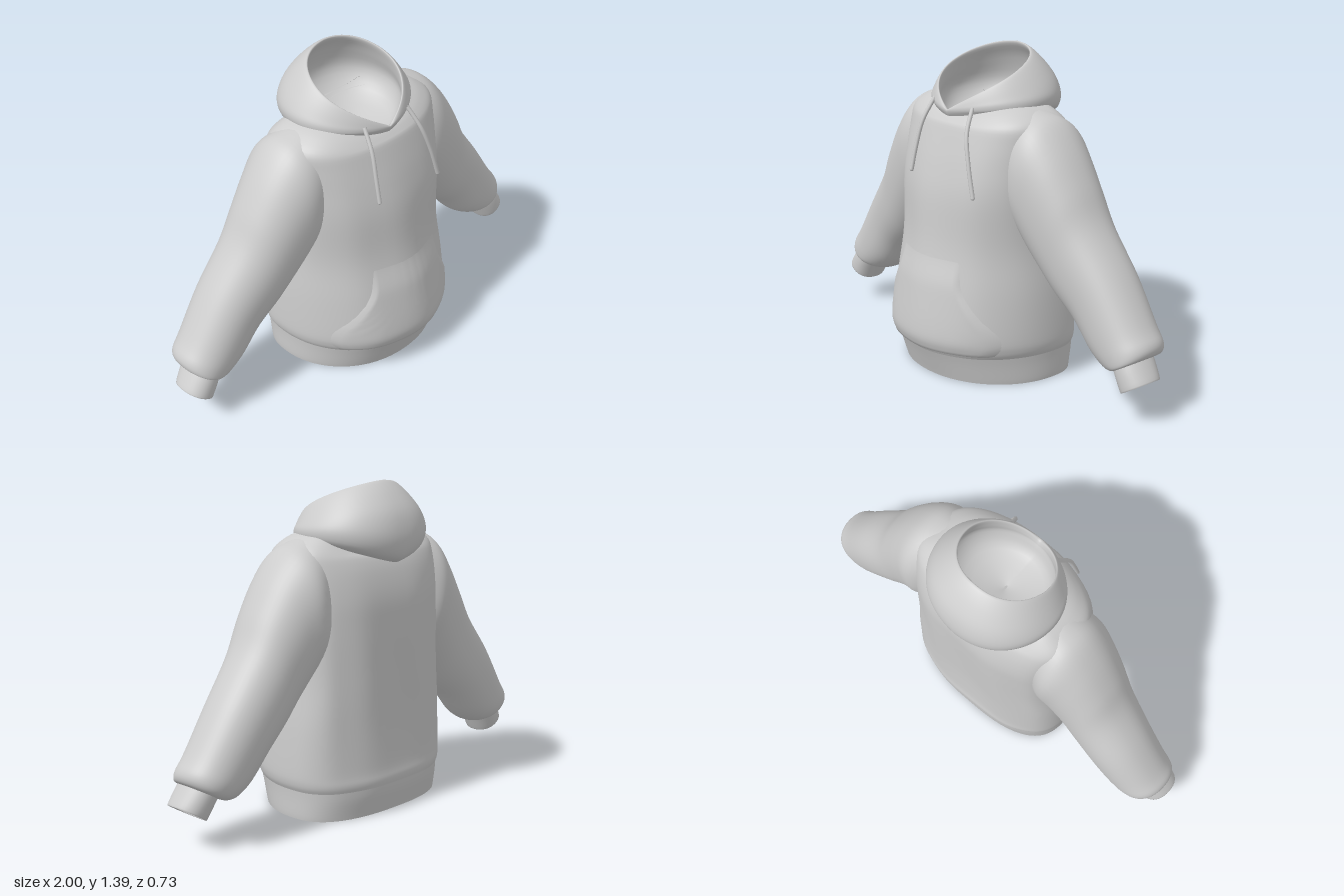
import * as THREE from 'three';

const cloth = new THREE.MeshStandardMaterial({ color: 0xcccccc, side: THREE.DoubleSide });

// Grid of points (rows x cols) turned into a smooth surface.
function surface(name, grid, closed) {
  const cols = grid[0].length, index = [];
  for (let r = 0; r < grid.length - 1; r++) {
    for (let c = 0; c < (closed ? cols : cols - 1); c++) {
      const d = (c + 1) % cols;
      const a = r * cols + c, b = r * cols + d, e = a + cols, f = b + cols;
      index.push(a, b, f, a, f, e);
    }
  }
  const geo = new THREE.BufferGeometry();
  geo.setAttribute('position', new THREE.Float32BufferAttribute(grid.flat(2), 3));
  geo.setIndex(index);
  geo.computeVertexNormals();
  const mesh = new THREE.Mesh(geo, cloth);
  mesh.name = name;
  return mesh;
}

// Catmull-Rom interpolation of rows of section parameters.
function smoothRows(rows, steps) {
  const out = [];
  const at = i => rows[Math.min(rows.length - 1, Math.max(0, i))];
  for (let i = 0; i < rows.length - 1; i++) {
    for (let s = 0; s < steps; s++) {
      const t = s / steps;
      out.push(rows[i].map((p1, k) => {
        const p0 = at(i - 1)[k], p2 = at(i + 1)[k], p3 = at(i + 2)[k];
        return 0.5 * (2 * p1 + (p2 - p0) * t + (2 * p0 - 5 * p1 + 4 * p2 - p3) * t * t
          + (3 * p1 - p0 - 3 * p2 + p3) * t * t * t);
      }));
    }
  }
  out.push(rows[rows.length - 1]);
  return out;
}

function loft(name, rows, section, steps = 5, segments = 64) {
  const grid = smoothRows(rows, steps).map(row =>
    Array.from({ length: segments }, (_, i) => section(row, (i / segments) * Math.PI * 2)));
  return surface(name, grid, true);
}

const power = (v, p) => Math.sign(v) * Math.abs(v) ** p;
const { smoothstep } = THREE.MathUtils;

// Torso section: round belly, fuller chest, flat back, dipped neckline, faint folds.
function torsoSection([y, w, front, back], a) {
  const c = Math.cos(a), s = Math.sin(a), mid = -0.08;
  const p = c > 0 ? 1 - 0.28 * smoothstep(y, 0.5, 0.92) : 0.72 - 0.1 * smoothstep(y, 0.1, 0.5);
  const fold = 0.005 * Math.sin(a * 9 + y * 3) * Math.sin(Math.min(1, Math.max(0, y / 1.1)) * Math.PI);
  const z = mid + Math.abs(c) ** p * (c > 0 ? front - mid : back - mid);
  const dip = Math.max(0, y - 1.1) * 0.65 * c * c;
  return [w * power(s, c > 0 ? 0.95 : 0.8), y - dip, z + fold * c];
}

// Sleeve section between an upper and a lower outline point.
function sleeveSection(side) {
  return ([tx, ty, bx, by, front, back], a) => {
    const k = (1 + power(Math.cos(a), 0.9)) / 2;
    const z = (front + back) / 2 + power(Math.sin(a), 0.9) * (front - back) / 2;
    return [side * (bx + (tx - bx) * k), by + (ty - by) * k, z];
  };
}

// Hood section: teardrop loop pointed at the throat, rising to the back.
function hoodSection([w, frontZ, frontY, backZ, backY, bump], a) {
  const u = a > Math.PI ? 2 - a / Math.PI : a / Math.PI;
  const y = frontY + (backY - frontY) * Math.sin(u * Math.PI / 2) + bump * Math.sin(u * Math.PI);
  const k = (1 - Math.cos(u * Math.PI)) / 2;
  return [w * power(Math.sin(a), u < 0.5 ? 1.12 : 0.9), y, frontZ + (backZ - frontZ) * k];
}

export function createModel() {
  const model = new THREE.Group();
  model.name = 'hoodedSweatshirt';

  // Body: [y, half width, front z, back z]
  const torso = loft('torso', [
    [0.13, 0.405, 0.328, -0.335], [0.16, 0.417, 0.342, -0.338], [0.22, 0.42, 0.352, -0.33],
    [0.4, 0.41, 0.325, -0.322], [0.6, 0.39, 0.288, -0.322], [0.8, 0.385, 0.268, -0.322],
    [0.93, 0.385, 0.24, -0.317], [1.04, 0.39, 0.207, -0.292], [1.12, 0.385, 0.18, -0.255],
    [1.17, 0.32, 0.162, -0.23], [1.195, 0.25, 0.15, -0.215],
  ], torsoSection);
  model.add(torso);

  // Hem band, open below
  model.add(loft('hemBand', [
    [0.007, 0.4, 0.282, -0.316], [0.03, 0.402, 0.29, -0.32],
    [0.09, 0.403, 0.312, -0.332], [0.13, 0.405, 0.328, -0.335],
  ], torsoSection, 3));

  // Sleeves and cuffs: [top x, top y, bottom x, bottom y, front z, back z]
  const sleeveRows = [
    [0.25, 1.185, 0.24, 0.72, 0.075, -0.19], [0.34, 1.165, 0.29, 0.67, 0.112, -0.245],
    [0.42, 1.13, 0.325, 0.635, 0.122, -0.268], [0.505, 1.035, 0.37, 0.575, 0.113, -0.255],
    [0.59, 0.9, 0.435, 0.5, 0.096, -0.243], [0.665, 0.76, 0.51, 0.42, 0.077, -0.24],
    [0.8, 0.58, 0.6, 0.34, 0.055, -0.24], [0.92, 0.4, 0.68, 0.25, 0.045, -0.23],
    [0.968, 0.335, 0.75, 0.202, 0.04, -0.22], [0.97, 0.295, 0.8, 0.194, 0.035, -0.2],
    [0.945, 0.272, 0.835, 0.205, 0.025, -0.165],
  ];
  const cuffRows = [
    [0.94, 0.285, 0.825, 0.21, 0.022, -0.163], [0.965, 0.25, 0.845, 0.175, 0.026, -0.158],
    [0.997, 0.203, 0.872, 0.124, 0.026, -0.148], [0.995, 0.197, 0.876, 0.122, 0.02, -0.142],
    [0.985, 0.2, 0.88, 0.133, 0.014, -0.136], [0.94, 0.26, 0.84, 0.195, 0.01, -0.145],
    [0.9, 0.31, 0.79, 0.24, 0.01, -0.15],
  ];
  for (const [label, side] of [['left', 1], ['right', -1]]) {
    model.add(loft(label + 'Sleeve', sleeveRows, sleeveSection(side), 5, 48));
    model.add(loft(label + 'Cuff', cuffRows, sleeveSection(side), 3, 36));
  }

  // Hood, from the neck seam over the roll and rim to the lining
  model.add(loft('hood', [
    [0.24, 0.15, 1.11, -0.22, 1.1, 0.04], [0.27, 0.163, 1.13, -0.29, 1.066, 0.075],
    [0.29, 0.168, 1.142, -0.345, 1.09, 0.068], [0.292, 0.169, 1.148, -0.363, 1.17, 0.045],
    [0.272, 0.168, 1.152, -0.34, 1.27, 0.01], [0.238, 0.165, 1.152, -0.285, 1.35, -0.005],
    [0.207, 0.16, 1.15, -0.232, 1.398, -0.012], [0.198, 0.154, 1.145, -0.222, 1.388, -0.012],
    [0.212, 0.148, 1.135, -0.265, 1.32, -0.01], [0.23, 0.14, 1.12, -0.295, 1.2, 0],
    [0.17, 0.1, 1.06, -0.22, 1.1, 0], [0.005, -0.04, 1.03, -0.06, 1.03, 0],
  ], hoodSection, 4, 72));

  // Finds the front of the torso at x, y
  const ray = new THREE.Raycaster();
  const inward = new THREE.Vector3(0, 0, -1);
  torso.updateMatrixWorld();
  const frontAt = (x, y) => {
    ray.set(new THREE.Vector3(x, y, 2), inward);
    return ray.intersectObject(torso)[0].point.z;
  };

  // Front pocket fading into the chest and flaring to the hem: [y, half width]
  const pocketRows = smoothRows([
    [0.14, 0.33], [0.19, 0.36], [0.25, 0.345], [0.32, 0.29], [0.42, 0.22], [0.5, 0.2], [0.59, 0.195],
  ], 4);
  const cols = 28;
  model.add(surface('pocket', pocketRows.map(([y, w], r) =>
    Array.from({ length: cols + 1 }, (_, c) => {
      const k = c / cols * 2 - 1;
      const rim = Math.abs(k) === 1 || r === 0;
      const lift = 0.013 - 0.015 * smoothstep(y, 0.42, 0.58);
      return [k * w, y, frontAt(k * w, y) + (rim ? -0.004 : lift)];
    })), false));

  // Drawstrings hanging from the throat
  const strings = [
    ['leftDrawstring', [[0.13, 1.175], [0.16, 1.08], [0.2, 0.96], [0.238, 0.83]]],
    ['rightDrawstring', [[-0.12, 1.185], [-0.132, 1.09], [-0.14, 0.98], [-0.143, 0.88]]],
  ];
  for (const [name, path] of strings) {
    const points = path.map(([x, y], i) =>
      new THREE.Vector3(x, y, i === 0 ? 0.135 : frontAt(x, y) + 0.012));
    const tube = new THREE.TubeGeometry(new THREE.CatmullRomCurve3(points), 24, 0.009, 8);
    const string = new THREE.Mesh(tube, cloth);
    string.name = name;
    const tip = new THREE.Mesh(new THREE.SphereGeometry(0.009, 8, 6), cloth);
    tip.name = name + 'Tip';
    tip.position.copy(points[points.length - 1]);
    model.add(string, tip);
  }

  return model;
}
